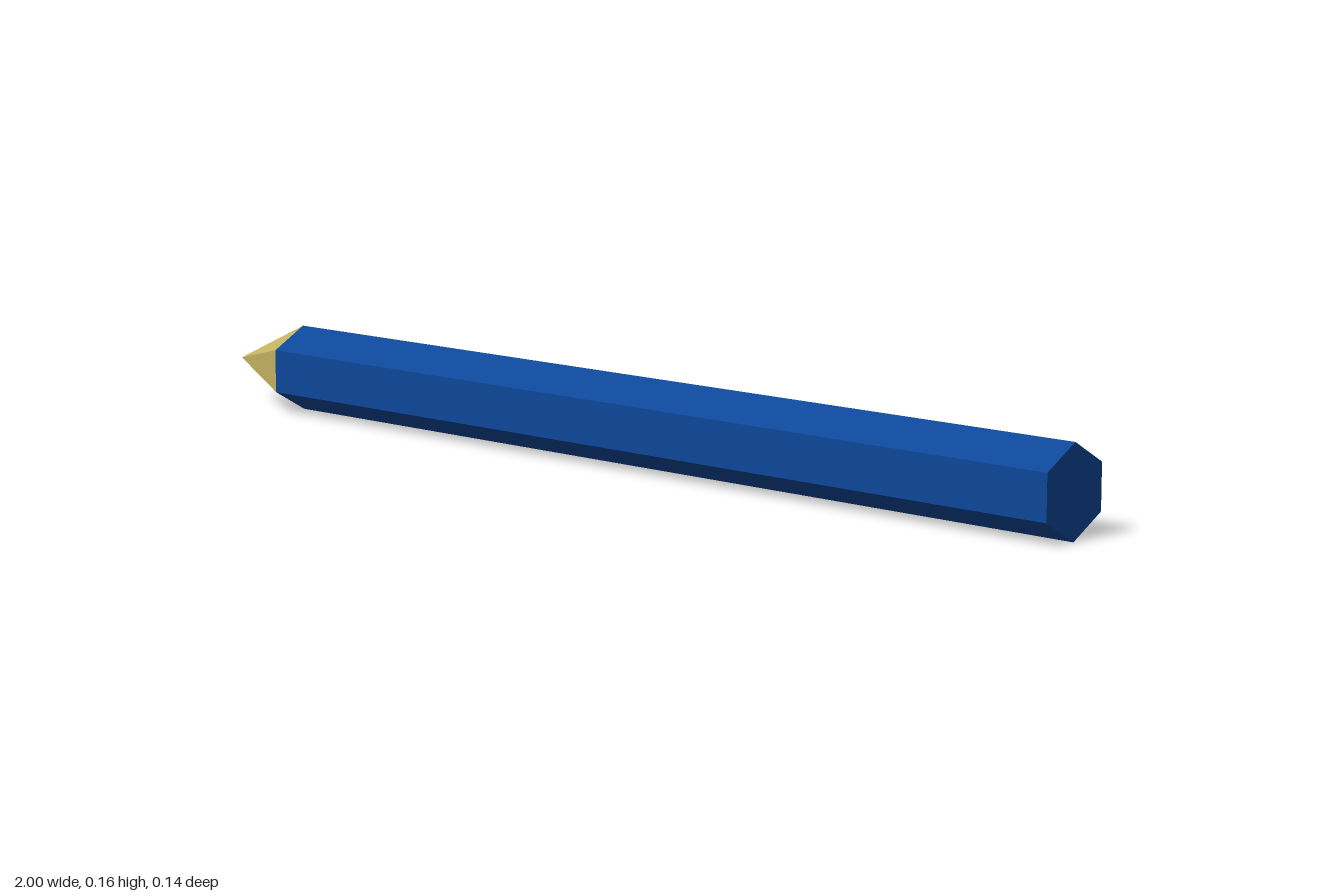
import * as THREE from 'three';

const RADIUS = 0.079;
const SHOULDER = -0.82; // where the sharpened end begins
const LEAD = -0.94;

// Six-sided section along x, with corners at top and bottom
function hexSection(name, xTip, xEnd, rTip, rEnd, color, open) {
  const geometry = new THREE.CylinderGeometry(rTip, rEnd, xEnd - xTip, 6, 1, open, Math.PI / 6);
  geometry.rotateZ(Math.PI / 2);
  const mesh = new THREE.Mesh(
    geometry,
    new THREE.MeshStandardMaterial({ color, flatShading: true })
  );
  mesh.name = name;
  mesh.position.set((xTip + xEnd) / 2, RADIUS, 0);
  return mesh;
}

export function createModel() {
  const pencil = new THREE.Group();
  pencil.name = 'pencil';
  const blue = 0x0d4799, wood = 0xc4b262;
  const leadRadius = RADIUS * (LEAD + 1) / (SHOULDER + 1);

  // Painted shaft, sharpened wood and pointed lead
  pencil.add(
    hexSection('shaft', SHOULDER, 1, RADIUS, RADIUS, blue, false),
    hexSection('sharpenedWood', LEAD, SHOULDER, leadRadius, RADIUS, wood, true),
    hexSection('leadTip', -1, LEAD, 0, leadRadius, wood, true)
  );
  return pencil;
}
